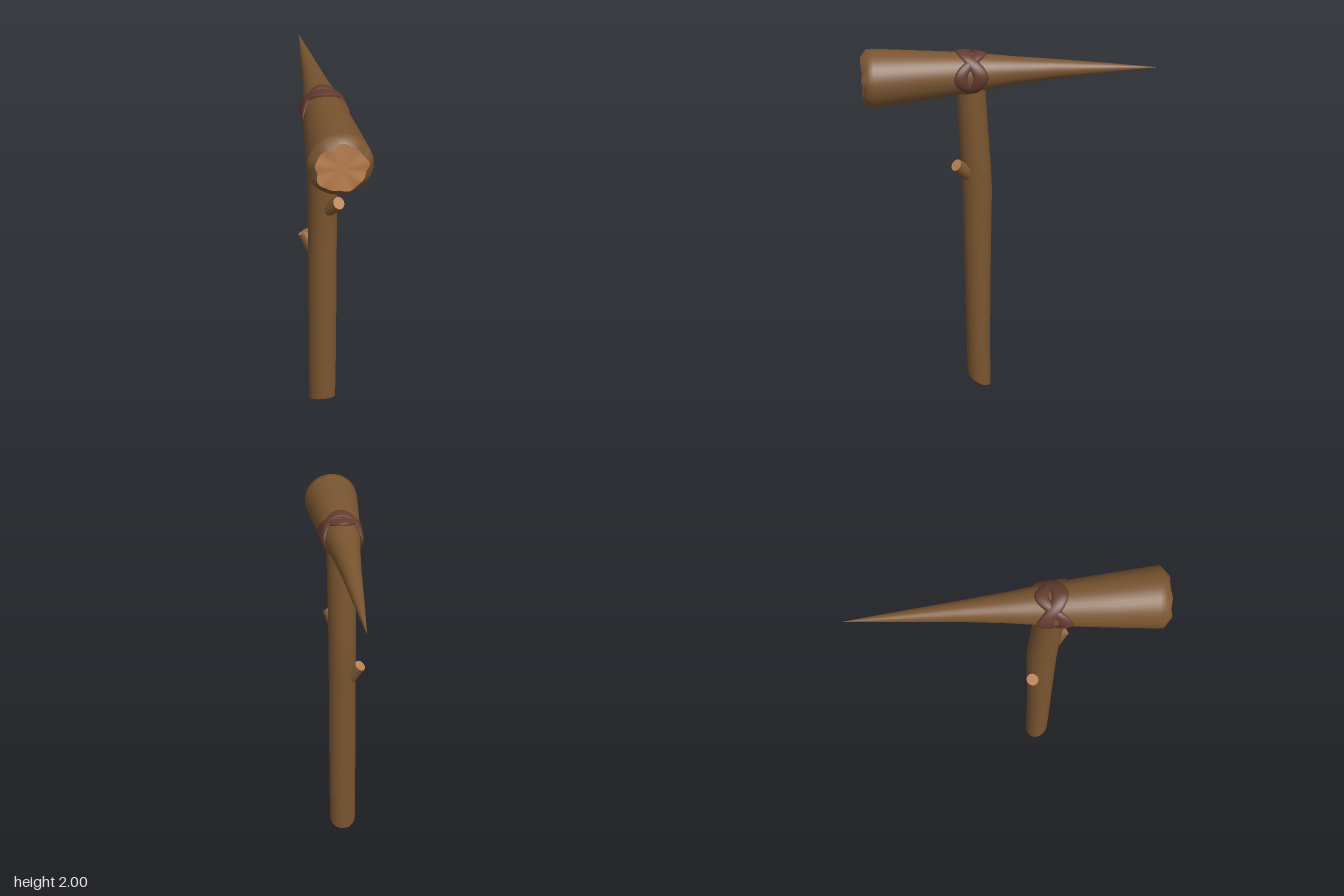
import * as THREE from 'three';

const mat = (name, color, side = THREE.FrontSide) => {
  const m = new THREE.MeshStandardMaterial({ color, side });
  m.name = name;
  return m;
};

const V = (x, y, z) => new THREE.Vector3(x, y, z);

// Skin a list of rings (arrays of points); closed joins the last ring to the first.
function loft(rings, closed = false) {
  const n = rings[0].length, index = [];
  const rows = closed ? rings.length : rings.length - 1;
  for (let i = 0; i < rows; i++) {
    const k = (i + 1) % rings.length;
    for (let j = 0; j < n; j++) {
      const a = i * n + j, b = i * n + (j + 1) % n;
      const c = k * n + j, d = k * n + (j + 1) % n;
      index.push(a, b, c, b, d, c);
    }
  }
  const g = new THREE.BufferGeometry().setFromPoints(rings.flat());
  g.setIndex(index);
  g.computeVertexNormals();
  return g;
}

// Flat fan that closes a ring; flip for the starting end.
function cap(ring, flip = false) {
  const n = ring.length, index = [];
  const centre = ring.reduce((s, p) => s.add(p), V(0, 0, 0)).divideScalar(n);
  for (let j = 0; j < n; j++) {
    const k = (j + 1) % n;
    index.push(n, flip ? k : j, flip ? j : k);
  }
  const g = new THREE.BufferGeometry().setFromPoints([...ring, centre]);
  g.setIndex(index);
  g.computeVertexNormals();
  return g;
}

const ringOf = (n, fn) => Array.from({ length: n }, (_, j) => fn(j / n * Math.PI * 2));

export function createModel() {
  const bark = mat('bark', 0x7a5530);
  const cutWood = mat('cut wood', 0xb97e50);
  const leather = mat('leather binding', 0x633c30);
  const group = new THREE.Group();
  group.name = 'primitivePick';
  const add = (name, geometry, material) => {
    const m = new THREE.Mesh(geometry, material);
    m.name = name;
    group.add(m);
    return m;
  };

  // Handle: slightly bent pole with a slanted cut at the foot. [y, centre z, rx, rz]
  const handleRings = [
    [0.04, 0.19, 0.075, 0.065], [0.3, 0.19, 0.076, 0.066], [0.7, 0.186, 0.075, 0.069],
    [1.1, 0.181, 0.073, 0.074], [1.25, 0.179, 0.073, 0.076], [1.4, 0.184, 0.073, 0.075],
    [1.6, 0.194, 0.074, 0.073], [1.8, 0.201, 0.075, 0.071], [1.87, 0.203, 0.07, 0.068],
  ].map(([y, cz, rx, rz], i) => ringOf(28, a =>
    V(rx * Math.cos(a), y - (i === 0 ? 0.04 * Math.sin(a) : 0), cz - rz * Math.sin(a))));
  add('handle', loft(handleRings), bark);
  add('handleFootCut', cap(handleRings[0], true), cutWood);

  // Head: long tapering spike with a blunt hammer end. [z, centre y, radius]
  const headRings = [
    [-0.72, 1.849, 0.0008], [-0.5, 1.857, 0.022], [-0.2, 1.867, 0.048], [0, 1.868, 0.069],
    [0.2, 1.868, 0.096], [0.45, 1.863, 0.12], [0.66, 1.86, 0.139], [0.69, 1.86, 0.14],
  ].map(([z, cy, r]) => ringOf(40, a => V(r * Math.cos(a), cy + r * Math.sin(a), z)));
  // Chipped rim around the striking face
  const rim = ringOf(40, a => {
    const r = 0.111 + 0.005 * Math.sin(5 * a + 1) + 0.004 * Math.sin(9 * a);
    return V(r * Math.cos(a), 1.86 + r * Math.sin(a), 0.716 + 0.004 * Math.sin(7 * a));
  });
  add('head', loft([...headRings, rim]), bark);
  add('strikingFace', cap(rim), cutWood);

  // Binding: two straps that weave across each other around the head
  const headRadius = z => 0.078 + 0.09 * z;
  const strap = (mid, swing, width, lift) => loft(Array.from({ length: 64 }, (_, i) => {
    const t = i / 64 * Math.PI * 2;
    const zc = mid + swing * Math.cos(2 * t);
    return ringOf(12, a => {
      const z = zc - width * Math.sin(a);
      const r = headRadius(z) + lift + 0.011 * Math.cos(a);
      return V(r * Math.cos(t), 1.868 + r * Math.sin(t), z);
    });
  }), true);
  add('strapOver', strap(0.197, -0.036, 0.036, 0.003), leather);
  add('strapUnder', strap(0.205, 0.052, 0.031, 0), leather);

  // Cut branch stubs
  const stub = (name, from, to, r0, r1) => {
    const axis = to.clone().sub(from);
    const g = new THREE.CylinderGeometry(r1, r0, axis.length(), 20, 1);
    const m = add(name, g, [bark, cutWood, bark]);
    m.position.copy(from).add(to).multiplyScalar(0.5);
    m.quaternion.setFromUnitVectors(V(0, 1, 0), axis.normalize());
  };
  stub('frontBranchStub', V(0.008, 1.325, 0.2), V(0.063, 1.412, 0.288), 0.045, 0.031);
  stub('backBranchStub', V(-0.03, 1.05, 0.168), V(-0.09, 1.15, 0.128), 0.042, 0.031);

  return group;
}
